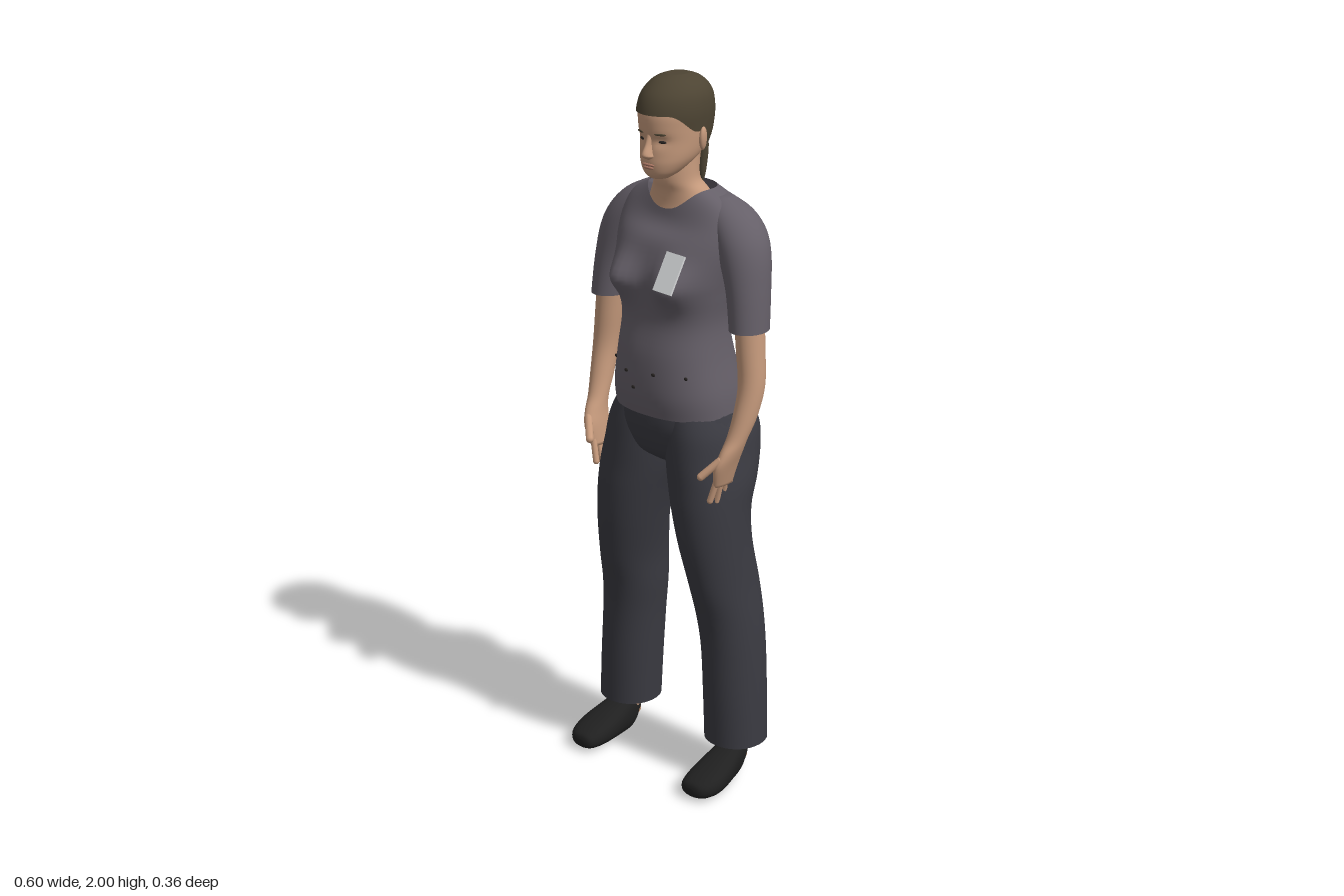
import * as THREE from 'three';

const { DoubleSide } = THREE;
const mat = (name, color, side = THREE.FrontSide) => {
  const m = new THREE.MeshStandardMaterial({ color, side });
  m.name = name;
  return m;
};
const spow = (v, p) => Math.sign(v) * Math.abs(v) ** p;
const step = THREE.MathUtils.smoothstep;
const gauss = (d, w) => Math.exp(-((d / w) ** 2));

// A ring is [y, centre x, half width, front z, back z]; smooth() adds spline rings between.
function smooth(rings, sub = 5) {
  const out = [];
  const cr = (a, b, c, d, t) =>
    0.5 * (2 * b + (c - a) * t + (2 * a - 5 * b + 4 * c - d) * t * t + (3 * b - a - 3 * c + d) * t ** 3);
  for (let i = 0; i < rings.length - 1; i++) {
    const [a, b, c, d] = [rings[Math.max(i - 1, 0)], rings[i], rings[i + 1], rings[Math.min(i + 2, rings.length - 1)]];
    for (let k = 0; k < sub; k++) out.push(b.map((_, n) => cr(a[n], b[n], c[n], d[n], k / sub)));
  }
  out.push(rings[rings.length - 1]);
  return out;
}

// Ring interpolated at height y
function ringAt(rings, y) {
  let i = 0;
  while (i < rings.length - 2 && rings[i + 1][0] < y) i++;
  const t = THREE.MathUtils.clamp((y - rings[i][0]) / (rings[i + 1][0] - rings[i][0]), 0, 1);
  return rings[i].map((v, n) => v + (rings[i + 1][n] - v) * t);
}

// Front surface depth at x, y
function frontZ(rings, x, y, power = 1) {
  const [, cx, rx, zf, zb] = ringAt(rings, y);
  const c = Math.min(1, Math.abs((x - cx) / rx)) ** (1 / power);
  return (zf + zb) / 2 + ((zf - zb) / 2) * Math.sqrt(1 - c * c) ** power;
}

// Skin a stack of rings, listed from low to high
function loft(rings, { seg = 36, power = 1, capLow = false, capHigh = false, mod } = {}) {
  const pos = [], idx = [], v = new THREE.Vector3();
  rings.forEach(([y, cx, rx, zf, zb]) => {
    for (let i = 0; i < seg; i++) {
      const a = (i / seg) * Math.PI * 2;
      v.set(cx + rx * spow(Math.cos(a), power), y, (zf + zb) / 2 + ((zf - zb) / 2) * spow(Math.sin(a), power));
      if (mod) mod(v, a);
      pos.push(v.x, v.y, v.z);
    }
  });
  for (let j = 0; j < rings.length - 1; j++)
    for (let i = 0; i < seg; i++) {
      const p = j * seg + i, q = j * seg + ((i + 1) % seg);
      idx.push(p, p + seg, q, q, p + seg, q + seg);
    }
  const cap = (j, top) => {
    const c = pos.length / 3, mid = [0, 0, 0];
    for (let i = 0; i < seg; i++) for (let n = 0; n < 3; n++) mid[n] += pos[(j * seg + i) * 3 + n] / seg;
    pos.push(...mid);
    for (let i = 0; i < seg; i++) {
      const p = j * seg + i, q = j * seg + ((i + 1) % seg);
      idx.push(c, top ? q : p, top ? p : q);
    }
  };
  if (capLow) cap(0, false);
  if (capHigh) cap(rings.length - 1, true);
  const g = new THREE.BufferGeometry();
  g.setAttribute('position', new THREE.Float32BufferAttribute(pos, 3));
  g.setIndex(idx);
  g.computeVertexNormals();
  return g;
}

export function createModel() {
  const model = new THREE.Group();
  const skin = mat('skin', 0xc79b7d), hairMat = mat('hair', 0x4d4433, DoubleSide);
  const shirt = mat('shirt', 0x655f68, DoubleSide), trousers = mat('trousers', 0x3a3a41, DoubleSide);
  const shoeMat = mat('shoe', 0x202020), badgeMat = mat('badge', 0xd8dadb);
  const lipMat = mat('lips', 0xa87562), dark = mat('dark', 0x2a2624);

  const add = (name, geometry, material) => {
    const m = new THREE.Mesh(geometry, material);
    m.name = name;
    model.add(m);
    return m;
  };
  const blob = (name, material, p, s, rot = [0, 0, 0]) => {
    const m = add(name, new THREE.SphereGeometry(1, 16, 12), material);
    m.position.set(...p);
    m.scale.set(...s);
    m.rotation.set(...rot);
  };
  const capsule = (name, material, a, b, r) => {
    const A = new THREE.Vector3(...a), B = new THREE.Vector3(...b), d = B.clone().sub(A);
    const m = add(name, new THREE.CapsuleGeometry(r, d.length(), 5, 10), material);
    m.position.copy(A).add(B).multiplyScalar(0.5);
    m.quaternion.setFromUnitVectors(new THREE.Vector3(0, 1, 0), d.normalize());
  };

  // Shirt body with bust and dipped neckline
  const torso = smooth([
    [1.085, 0, 0.182, 0.13, -0.168], [1.15, 0, 0.178, 0.14, -0.16], [1.25, 0, 0.16, 0.136, -0.135],
    [1.34, 0, 0.152, 0.12, -0.115], [1.42, 0, 0.164, 0.12, -0.12], [1.47, 0, 0.174, 0.12, -0.13],
    [1.55, 0, 0.19, 0.102, -0.142], [1.62, 0, 0.19, 0.07, -0.14], [1.665, 0, 0.16, 0.055, -0.125],
    [1.7, 0, 0.098, 0.048, -0.1]]);
  add('shirtBody', loft(torso, {
    seg: 56, power: 0.85, mod: (v, a) => {
      const s = Math.max(0, Math.sin(a));
      if (s > 0) v.z += 0.05 * gauss(Math.abs(v.x) - 0.09, 0.055) * gauss(v.y - 1.46, 0.055);
      v.y -= 0.055 * step(v.y, 1.55, 1.7) * s ** 3;
    },
  }), shirt);

  // Hips
  add('hips', loft(smooth([
    [0.93, 0, 0.08, 0.05, -0.06], [0.97, 0, 0.17, 0.1, -0.12], [1.04, 0, 0.2, 0.122, -0.155],
    [1.1, 0, 0.178, 0.122, -0.158]]), { power: 0.9, capLow: true }), trousers);

  // Neck and upper chest
  add('neck', loft(smooth([
    [1.6, 0, 0.13, 0.055, -0.11], [1.65, 0, 0.106, 0.045, -0.1], [1.69, 0, 0.084, 0.045, -0.082],
    [1.72, 0, 0.066, 0.052, -0.062], [1.76, 0, 0.062, 0.05, -0.06], [1.82, 0, 0.062, 0.04, -0.07]])), skin);

  // Head with shallow eye sockets
  const head = smooth([
    [1.735, 0, 0.026, 0.092, 0.035], [1.75, 0, 0.046, 0.104, 0.005], [1.775, 0, 0.064, 0.109, -0.04],
    [1.8, 0, 0.074, 0.108, -0.072], [1.835, 0, 0.08, 0.106, -0.095], [1.87, 0, 0.083, 0.111, -0.106],
    [1.91, 0, 0.085, 0.111, -0.108], [1.95, 0, 0.077, 0.094, -0.098], [1.98, 0, 0.052, 0.058, -0.068],
    [1.993, 0, 0.02, 0.02, -0.03]]);
  add('head', loft(head, {
    seg: 48, power: 0.95, capLow: true, capHigh: true, mod: (v) => {
      if (v.z > 0.03) v.z -= 0.007 * gauss(Math.abs(v.x) - 0.034, 0.018) * gauss(v.y - 1.838, 0.013);
    },
  }), skin);
  add('nose', loft(smooth([
    [1.788, 0, 0.005, 0.11, 0.085], [1.797, 0, 0.016, 0.126, 0.085], [1.806, 0, 0.014, 0.13, 0.085],
    [1.83, 0, 0.009, 0.118, 0.085], [1.858, 0, 0.01, 0.108, 0.085]]), { seg: 20, capLow: true }), skin);
  blob('upperLip', lipMat, [0, 1.775, frontZ(head, 0, 1.775)], [0.022, 0.004, 0.005]);
  blob('lowerLip', lipMat, [0, 1.767, frontZ(head, 0, 1.767)], [0.018, 0.004, 0.005]);

  // Hair cap following the skull, with a hairline that drops behind the ears
  const hairRows = Array.from({ length: 19 }, (_, i) => [Math.sin((i / 18) * Math.PI / 2), 0, 1, 1, -1]);
  add('hairCap', loft(hairRows, {
    seg: 56, capHigh: true, mod: (v, a) => {
      const s = Math.sin(a);
      const low = s > 0 ? 1.86 + 0.048 * step(s, 0.1, 0.8) : 1.86 - 0.042 * step(-s, 0.05, 0.3);
      const y = low + (1.993 - low) * v.y;
      const [, , rx, zf, zb] = ringAt(head, y);
      v.set((rx + 0.007) * Math.cos(a), y + 0.007 * v.y, (zf + zb) / 2 + ((zf - zb) / 2 + 0.007) * s);
    },
  }), hairMat);

  // Ponytail
  add('ponytail', loft(smooth([
    [1.685, 0, 0.004, -0.1, -0.106], [1.72, 0, 0.011, -0.094, -0.115], [1.78, 0, 0.016, -0.09, -0.122],
    [1.82, 0, 0.014, -0.086, -0.118], [1.84, 0, 0.008, -0.085, -0.105]]),
  { seg: 16, capLow: true, capHigh: true }), hairMat);

  // Chest badge
  const badge = add('badge', new THREE.BoxGeometry(0.064, 0.108, 0.006), badgeMat);
  badge.position.set(0.103, 1.508, 0.142);
  badge.rotation.set(-0.5, 0, -0.04);

  // Small dark marks along the shirt waist
  [[-0.13, 1.215], [-0.06, 1.2], [0.04, 1.21], [0.125, 1.21], [-0.03, 1.16]].forEach(([x, y]) =>
    blob('waistMark', dark, [x, y, frontZ(torso, x, y, 0.85)], [0.007, 0.005, 0.003]));

  // Parts on both sides
  for (const s of [1, -1]) {
    const side = s > 0 ? 'left' : 'right';
    const mir = (rings) => smooth(rings.map(([y, x, ...r]) => [y, x * s, ...r]));

    add(side + 'Sleeve', loft(mir([
      [1.35, 0.25, 0.05, 0.05, -0.07], [1.45, 0.237, 0.056, 0.045, -0.085], [1.54, 0.213, 0.068, 0.04, -0.105],
      [1.6, 0.186, 0.071, 0.03, -0.115], [1.65, 0.148, 0.062, 0.01, -0.107], [1.685, 0.11, 0.03, -0.02, -0.08]]),
    { capHigh: true }), shirt);

    add(side + 'Forearm', loft(mir([
      [0.925, 0.226, 0.013, 0.1, 0.028], [0.98, 0.238, 0.019, 0.112, 0.02], [1.02, 0.248, 0.023, 0.097, 0.016],
      [1.06, 0.255, 0.027, 0.072, 0.008], [1.12, 0.262, 0.032, 0.052, -0.02], [1.2, 0.265, 0.035, 0.035, -0.043],
      [1.3, 0.256, 0.038, 0.032, -0.05], [1.42, 0.245, 0.04, 0.03, -0.055]]), { seg: 24, capLow: true }), skin);

    // Fingers and thumb
    [0.895, 0.877, 0.874, 0.883].forEach((y, i) =>
      capsule(side + 'Finger', skin, [0.228 * s, 0.945, 0.037 + i * 0.018], [0.211 * s, y, 0.021 + i * 0.026], 0.009));
    capsule(side + 'Thumb', skin, [0.242 * s, 1.005, 0.095], [0.205 * s, 0.96, 0.13], 0.011);

    // Trouser leg
    add(side + 'TrouserLeg', loft(mir([
      [0.12, 0.2025, 0.088, 0.06, -0.115], [0.25, 0.197, 0.087, 0.062, -0.12], [0.4, 0.188, 0.086, 0.064, -0.125],
      [0.5, 0.178, 0.086, 0.075, -0.126], [0.6, 0.168, 0.084, 0.1, -0.12], [0.72, 0.152, 0.092, 0.12, -0.102],
      [0.82, 0.138, 0.102, 0.126, -0.107], [0.9, 0.125, 0.112, 0.123, -0.142], [0.97, 0.112, 0.112, 0.12, -0.173],
      [1.04, 0.102, 0.107, 0.115, -0.181], [1.1, 0.09, 0.085, 0.105, -0.157]]), { power: 0.95 }), trousers);

    add(side + 'Ankle', loft(mir([
      [0.06, 0.205, 0.036, 0.02, -0.055], [0.14, 0.203, 0.037, 0.015, -0.065], [0.3, 0.195, 0.05, 0.03, -0.09]]),
    { seg: 20 }), skin);

    // Shoe, skinned from heel to toe with a raked heel
    const shoe = loft(mir([
      [-0.008, 0.205, 0.022, -0.012, -0.1], [0.005, 0.206, 0.036, -0.004, -0.122], [0.04, 0.21, 0.045, 0, -0.122],
      [0.08, 0.214, 0.054, 0, -0.1], [0.12, 0.217, 0.057, 0, -0.08], [0.155, 0.216, 0.05, -0.003, -0.063],
      [0.175, 0.213, 0.035, -0.01, -0.05], [0.181, 0.212, 0.014, -0.02, -0.036]]),
    { seg: 28, power: 0.85, capLow: true, capHigh: true, mod: (v) => {
      v.y += 0.5 * v.z * THREE.MathUtils.clamp(1 - v.y / 0.17, 0, 1);
    } });
    add(side + 'Shoe', shoe.rotateX(Math.PI / 2), shoeMat);

    // Ear, eye and brow
    blob(side + 'Ear', skin, [0.087 * s, 1.838, -0.008], [0.009, 0.033, 0.018], [0.2, 0.35 * s, -0.15 * s]);
    const ex = 0.034 * s;
    blob(side + 'Eye', dark, [ex, 1.837, frontZ(head, ex, 1.837, 0.95) - 0.006], [0.012, 0.004, 0.003], [0, 0.3 * s, 0]);
    blob(side + 'Brow', hairMat, [ex, 1.858, frontZ(head, ex, 1.858, 0.95) - 0.001], [0.017, 0.003, 0.003], [0, 0.4 * s, 0]);
  }
  return model;
}
